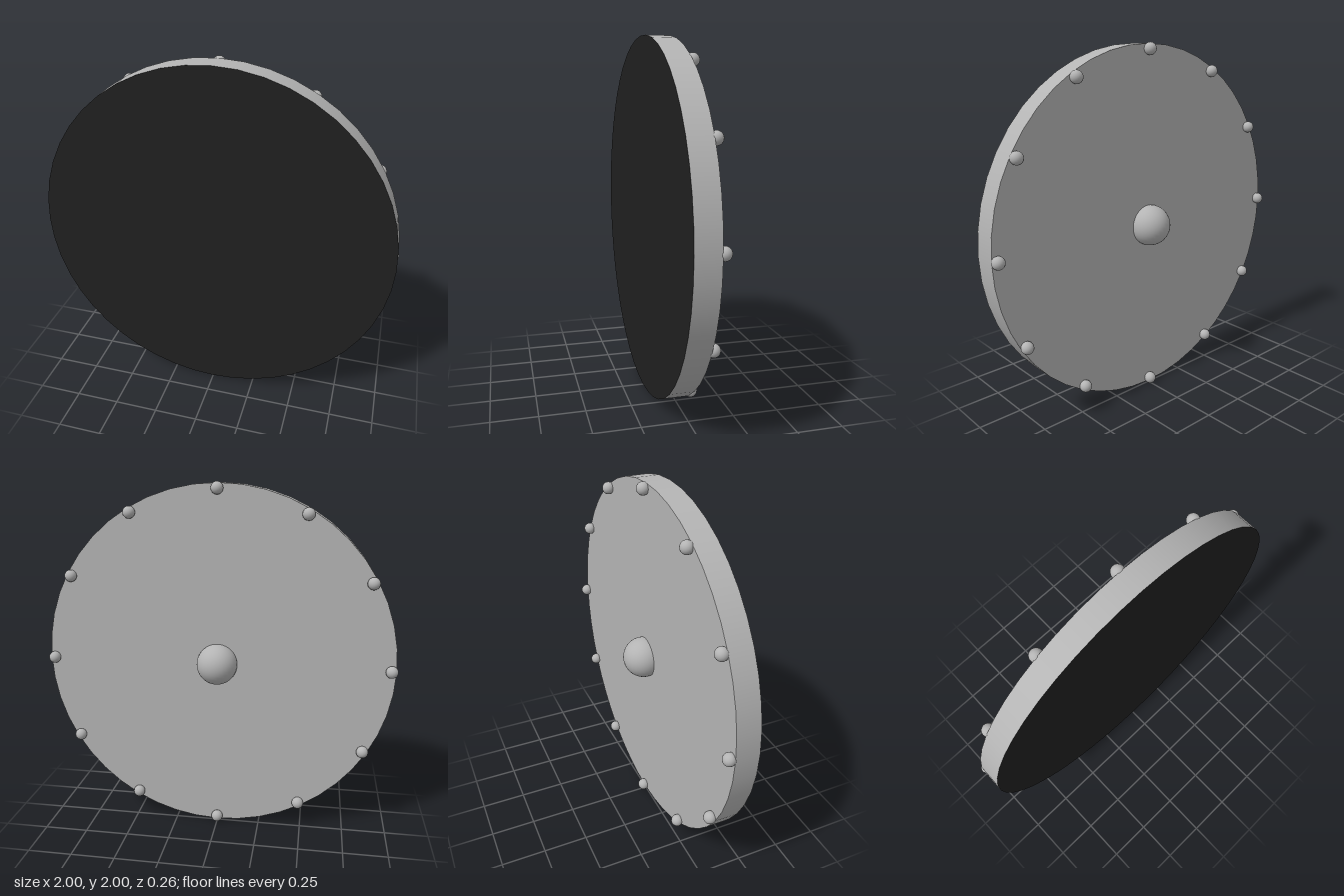
import * as THREE from 'three';

export function createModel() {
  const model = new THREE.Group();
  const metal = new THREE.MeshStandardMaterial({ color: 0xb4b4b4 });
  metal.name = 'grey metal';
  const black = new THREE.MeshStandardMaterial({ color: 0x202020 });
  black.name = 'black face';

  const depth = 0.13, discRadius = 0.993, centreY = 1;

  // round plate: rim and back in metal, front cap black
  const plate = new THREE.CylinderGeometry(discRadius, discRadius, depth, 48);
  plate.rotateX(Math.PI / 2);
  const disc = new THREE.Mesh(plate, [metal, black, metal]);
  disc.name = 'disc';
  disc.position.set(0, centreY, depth / 2);
  model.add(disc);

  // central boss, partly sunk into the back
  const boss = new THREE.Mesh(new THREE.SphereGeometry(0.115, 32, 20), metal);
  boss.name = 'boss';
  boss.position.set(0, centreY, -0.015);
  model.add(boss);

  // twelve studs around the edge of the back
  const studs = new THREE.Group();
  studs.name = 'studs';
  const studGeometry = new THREE.SphereGeometry(0.034, 20, 14);
  const ringRadius = 0.966;
  for (let i = 0; i < 12; i++) {
    const a = (i / 12) * Math.PI * 2;
    const stud = new THREE.Mesh(studGeometry, metal);
    stud.name = 'stud';
    stud.position.set(Math.cos(a) * ringRadius, centreY + Math.sin(a) * ringRadius, -0.016);
    studs.add(stud);
  }
  model.add(studs);

  return model;
}
